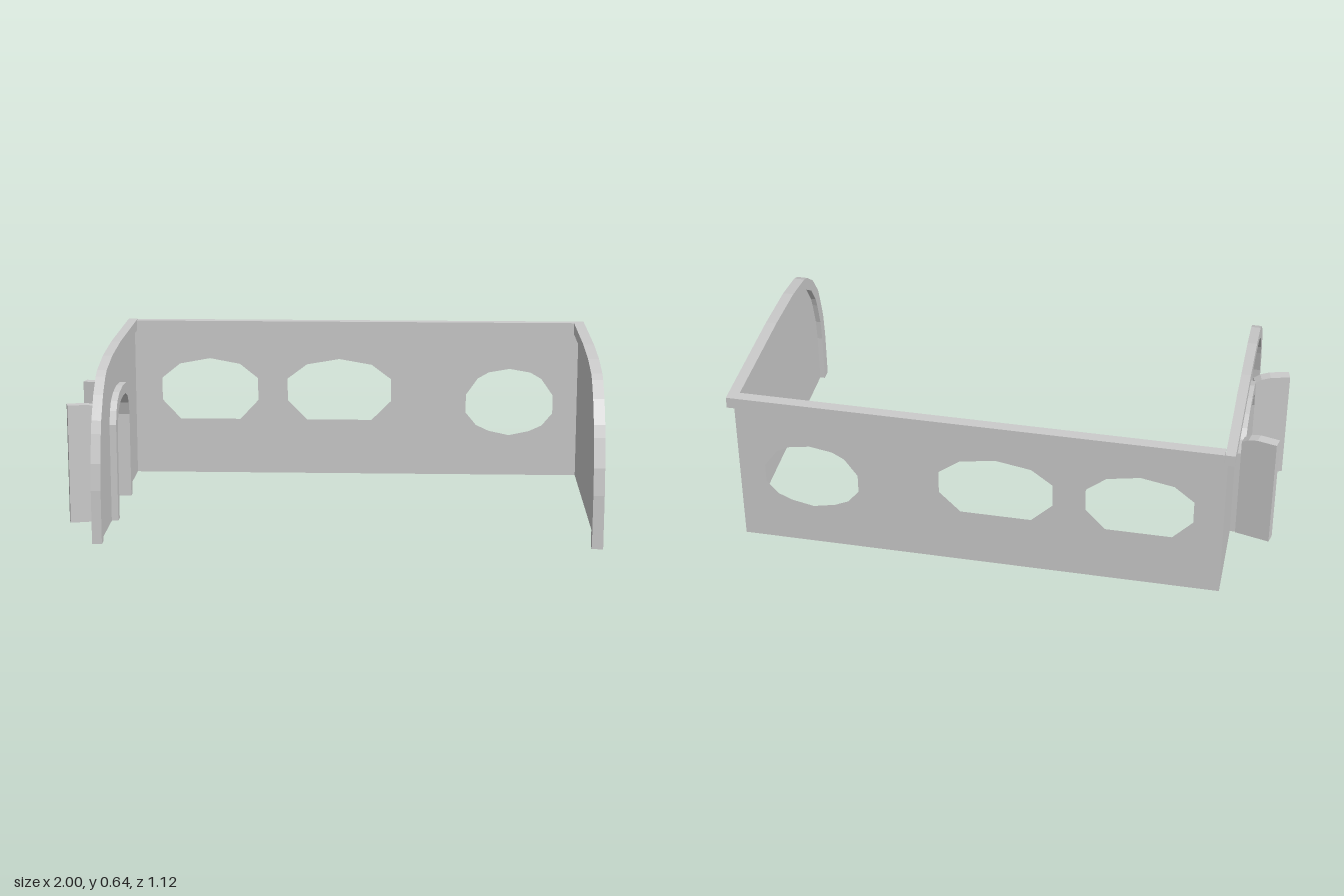
import * as THREE from 'three';

const mat = new THREE.MeshStandardMaterial({ color: 0xcccccc, flatShading: true, side: THREE.DoubleSide });
const pts = (list) => list.map(([a, b]) => new THREE.Vector2(a, b));

// Side profiles as (z, y): outer and inner edge of the curved rim
const outer = [[-0.558, 0.642], [-0.05, 0.642], [0.18, 0.63], [0.33, 0.605], [0.37, 0.588], [0.44, 0.533],
  [0.5, 0.45], [0.517, 0.405], [0.547, 0.3], [0.558, 0.2], [0.558, 0]];
const inner = [[-0.558, 0.598], [-0.05, 0.598], [0.16, 0.587], [0.305, 0.565], [0.345, 0.548], [0.41, 0.503],
  [0.462, 0.428], [0.477, 0.388], [0.505, 0.288], [0.514, 0.2], [0.514, 0]];

const DOOR_Z = 0.028;

// Doorway arch outline (z, y) for a given half width and crown height
function arch(w, top) {
  const half = [[w, 0], [w, top - 0.11], [w * 0.9, top - 0.06], [w * 0.75, top - 0.028], [w * 0.45, top - 0.007]];
  const other = half.map(([z, y]) => [-z, y]).reverse();
  return [...half, [0, top], ...other].map(([z, y]) => [z + DOOR_Z, y]);
}

function add(parent, name, geometry, x = 0, y = 0, z = 0) {
  const mesh = new THREE.Mesh(geometry, mat);
  mesh.name = name;
  mesh.position.set(x, y, z);
  parent.add(mesh);
  return mesh;
}

// Extrude a (z, y) outline so that it spans x0..x1
function sideSlab(outline, x0, x1) {
  const g = new THREE.ExtrudeGeometry(new THREE.Shape(pts(outline)), { depth: x1 - x0, bevelEnabled: false });
  return g.rotateY(-Math.PI / 2).translate(x1, 0, 0);
}

// Flat wall from a (z, y) outline
const sideSheet = (outline) => new THREE.ShapeGeometry(new THREE.Shape(pts(outline))).rotateY(-Math.PI / 2);

export function createModel() {
  const model = new THREE.Group();
  model.name = 'curvedRoomWalls';
  const leftX = -0.84, rightX = 0.977, backZ = -0.538;

  // Back wall with two arched windows and one round window
  const back = new THREE.Shape(pts([[leftX, 0], [rightX, 0], [rightX, 0.61], [leftX, 0.61]]));
  const archedWindow = [[-0.2, 0.4], [-0.125, 0.46], [0, 0.483], [0.125, 0.46], [0.2, 0.4],
    [0.2, 0.308], [0.125, 0.228], [-0.125, 0.228], [-0.2, 0.308]];
  for (const [cx, s] of [[-0.532, 0.99], [0.001, 1.065]]) {
    back.holes.push(new THREE.Path(pts(archedWindow.map(([x, y]) => [cx + x * s, y]))));
  }
  const roundHalf = [[0, 0.447], [0.085, 0.432], [0.13, 0.406], [0.178, 0.337], [0.178, 0.262],
    [0.135, 0.21], [0.083, 0.186], [0, 0.168]];
  const round = [...roundHalf, ...roundHalf.slice(1, -1).map(([x, y]) => [-x, y]).reverse()];
  back.holes.push(new THREE.Path(pts(round.map(([x, y]) => [x + 0.7, y]))));
  add(model, 'backWall', new THREE.ShapeGeometry(back), 0, 0, backZ);

  // Curved side walls; the doorway in one reaches the floor, so its outline runs around the arch
  const edge = inner.slice(1).map(([z, y]) => [z + 0.006, y && y + 0.005]);
  const wallOutline = [...edge.reverse(), [backZ, 0.603], [backZ, 0]];
  add(model, 'leftWall', sideSheet(wallOutline), rightX);
  add(model, 'rightWall', sideSheet([...wallOutline, ...arch(0.187, 0.466).reverse()]), leftX);

  // Rim along the top of all three walls
  const rim = [...outer, ...inner.slice().reverse()];
  add(model, 'rightRim', sideSlab(rim, -0.867, -0.831));
  add(model, 'leftRim', sideSlab(rim, 0.957, 0.998));
  add(model, 'backRim', new THREE.BoxGeometry(1.786, 0.044, 0.04), 0.064, 0.62, -0.538);

  // Door frame
  const frame = [...arch(0.208, 0.484), ...arch(0.168, 0.444).reverse()];
  add(model, 'doorFrame', sideSlab(frame, -0.874, -0.815));

  // Two door leaves swung outwards
  const leaf = new THREE.Shape(pts([[0, 0], [0, 0.432], [-0.025, 0.447], [-0.06, 0.455], [-0.135, 0.455], [-0.135, 0]]));
  for (const [name, s] of [['frontDoorLeaf', 1], ['backDoorLeaf', -1]]) {
    const g = new THREE.ExtrudeGeometry(leaf, { depth: 0.038, bevelEnabled: false }).translate(0, 0, -0.019);
    add(model, name, g, -0.865, 0, DOOR_Z + s * 0.193).rotation.y = s * 0.24;
  }
  return model;
}
